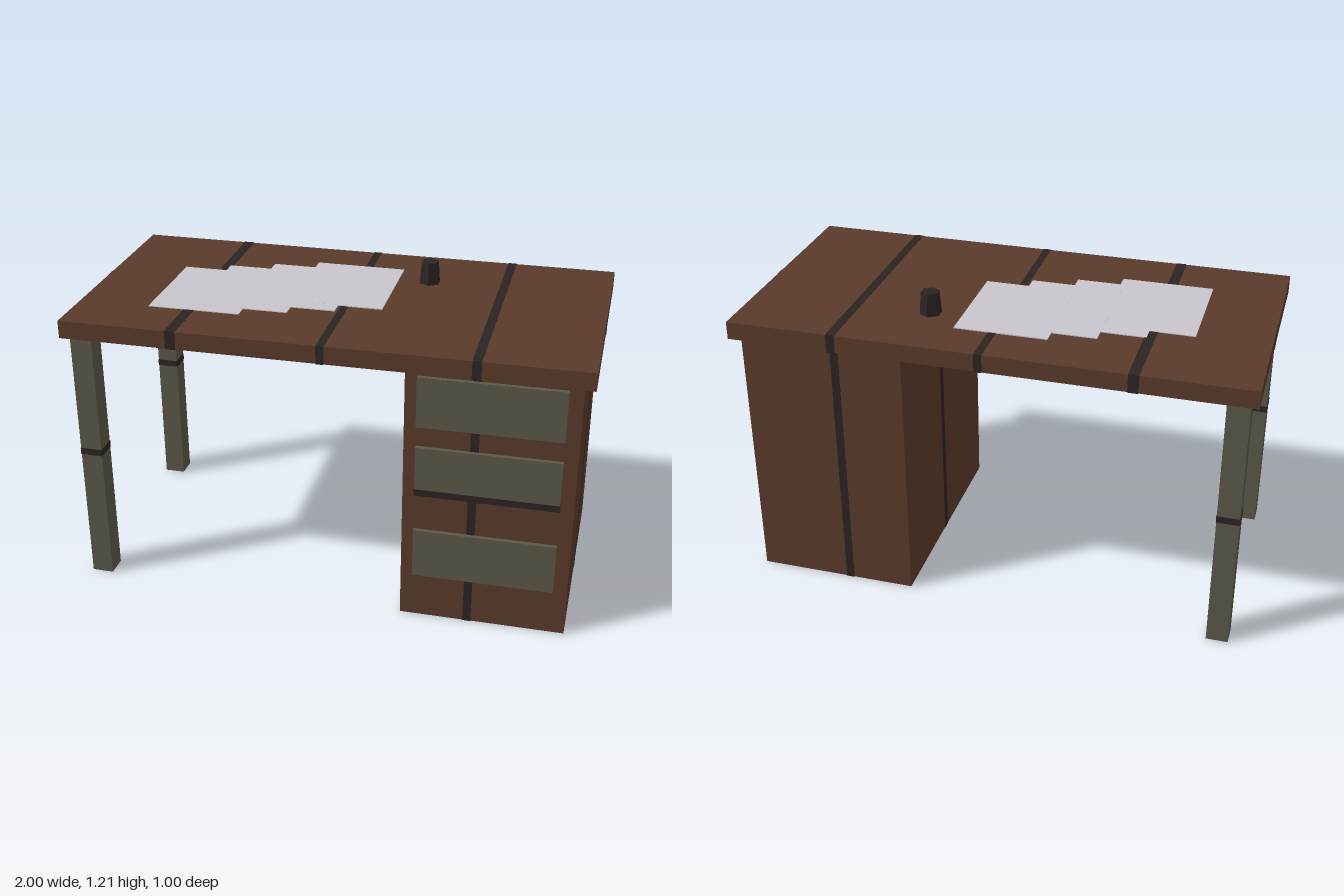
import * as THREE from 'three';

const flat = (name, color) => {
  const m = new THREE.MeshStandardMaterial({ color });
  m.name = name;
  return m;
};

export function createModel() {
  const wood = flat('brown wood', 0x5a3a2c);
  const green = flat('grey green paint', 0x5b5849);
  const dark = flat('dark grain', 0x2c2323);
  const white = flat('paper white', 0xc8c6cc);

  const desk = new THREE.Group();
  desk.name = 'desk';

  // Box given by its lower and upper limits on each axis
  const box = (name, mat, [x0, x1], [y0, y1], [z0, z1], parent = desk) => {
    const mesh = new THREE.Mesh(new THREE.BoxGeometry(x1 - x0, y1 - y0, z1 - z0), mat);
    mesh.position.set((x0 + x1) / 2, (y0 + y1) / 2, (z0 + z1) / 2);
    mesh.name = name;
    parent.add(mesh);
    return mesh;
  };
  const T = 0.0015; // thickness of painted bands

  // Desktop with three bands wrapped around it, and one on each end
  box('desktop', wood, [-1, 1], [1.05, 1.12], [-0.5, 0.5]);
  for (const [x, w] of [[-0.558, 0.04], [0.012, 0.03], [0.582, 0.034]]) {
    box('desktopBand', dark, [x - w / 2, x + w / 2], [1.05 - T, 1.12 + T], [-0.5 - T, 0.5 + T]);
  }
  for (const s of [-1, 1]) {
    const x = [s, s + s * T].sort((a, b) => a - b);
    box('desktopEndBand', dark, x, [1.05, 1.12], [-0.035, 0]);
  }

  // Drawer cabinet with bands on the front, back, bottom and sides
  box('cabinet', wood, [0.32, 0.96], [0, 1.05], [-0.47, 0.47]);
  box('cabinetBand', dark, [0.568, 0.6], [-T, 1.05], [-0.47 - T, 0.47 + T]);
  box('cabinetSideBand', dark, [0.32 - T, 0.96 + T], [0, 1.05], [-0.035, 0]);

  // Drawer fronts
  for (const [y0, y1] of [[0.83, 1.03], [0.545, 0.745], [0.19, 0.39]]) {
    box('drawerFront', green, [0.367, 0.908], [y0, y1], [0.47, 0.488]);
  }
  box('drawerBand', dark, [0.367 - T, 0.908 + T], [0.545 - T, 0.57], [0.47, 0.488 + T]);

  // Two legs, each with a dark band
  for (const s of [-1, 1]) {
    const leg = new THREE.Group();
    leg.name = s > 0 ? 'frontLeg' : 'backLeg';
    const z = [s * 0.388, s * 0.473].sort((a, b) => a - b);
    box('legPost', green, [-0.97, -0.885], [0, 1.05], z, leg);
    box('legBand', dark, [-0.97 - T, -0.885 + T], [0.543, 0.57], [z[0] - T, z[1] + T], leg);
    desk.add(leg);
  }

  // Four overlapping sheets of paper, stepping back to the left
  for (let i = 0; i < 4; i++) {
    const x = -0.72 + i * 0.173, z = -0.148 - i * 0.057, y = 1.12 + 0.003 + i * 0.0004;
    box('paperSheet', white, [x, x + 0.361], [1.12, y], [z, z + 0.434]);
  }

  // Six-sided cup
  const cupGeo = new THREE.CylinderGeometry(0.036, 0.043, 0.09, 6).toNonIndexed();
  cupGeo.computeVertexNormals();
  const cup = new THREE.Mesh(cupGeo, dark);
  cup.name = 'cup';
  cup.position.set(0.285, 1.165, -0.214);
  desk.add(cup);

  return desk;
}
